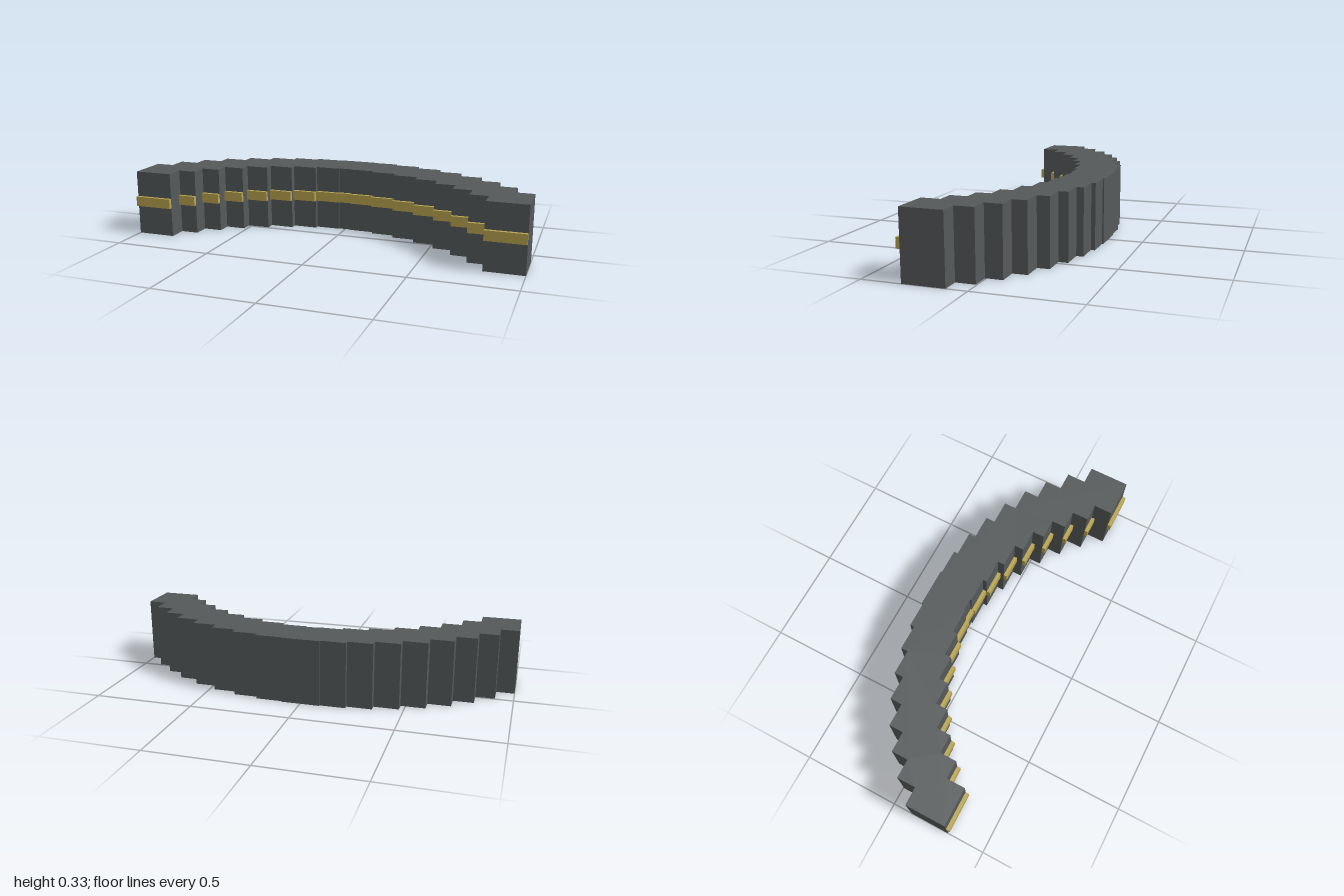
import * as THREE from 'three';

const HEIGHT = 0.33, WIDTH = 0.195, DEPTH = 0.205;
const TRIM_Y = 0.15, TRIM_HEIGHT = 0.05, TRIM_DEPTH = 0.018;

// Centre x and back z of each block, from the outer end to the middle
const BLOCKS = [
  [0.9025, 0.1], [0.812, 0.005], [0.717, -0.079], [0.615, -0.152], [0.5, -0.213],
  [0.379, -0.26], [0.255, -0.295], [0.129, -0.316], [0, -0.323],
];

export function createModel() {
  const group = new THREE.Group();
  const bodyMaterial = new THREE.MeshStandardMaterial({ name: 'dark grey', color: 0x55595a });
  const trimMaterial = new THREE.MeshStandardMaterial({ name: 'muted gold', color: 0xb9a44f });

  // Stepped arc outline: the back steps overlap outwards, the front steps inwards
  const back = [], front = [];
  BLOCKS.forEach(([x, z], i) => {
    const outer = x + WIDTH / 2, inner = x - WIDTH / 2;
    const next = BLOCKS[i + 1];
    const prev = BLOCKS[i - 1];
    const backEnd = next ? next[0] + WIDTH / 2 : 0;
    const frontStart = prev ? prev[0] - WIDTH / 2 : outer;
    const frontEnd = next ? inner : 0;
    back.push([outer, -z], [backEnd, -z]);
    front.push([frontStart, -z - DEPTH], [frontEnd, -z - DEPTH]);
  });
  const rightHalf = [...front.slice(0, -1).reverse(), ...back.slice(0, -1)];
  const leftHalf = rightHalf.map(([x, y]) => [-x, y]).reverse();
  const outline = [...rightHalf, ...leftHalf].map(([x, y]) => new THREE.Vector2(x, y));
  const bodyGeometry = new THREE.ExtrudeGeometry(new THREE.Shape(outline), {
    depth: HEIGHT, bevelEnabled: false,
  });
  bodyGeometry.rotateX(-Math.PI / 2);
  const body = new THREE.Mesh(bodyGeometry, bodyMaterial);
  body.name = 'steppedArcBody';
  group.add(body);

  // Raised gold strip on the visible front of every step
  const trim = new THREE.Group();
  trim.name = 'frontTrim';
  const addStrip = (x0, x1, z) => {
    const strip = new THREE.Mesh(
      new THREE.BoxGeometry(x1 - x0, TRIM_HEIGHT, TRIM_DEPTH), trimMaterial);
    strip.position.set((x0 + x1) / 2, TRIM_Y + TRIM_HEIGHT / 2, z + DEPTH + TRIM_DEPTH / 2);
    strip.name = 'trimStrip';
    trim.add(strip);
  };
  BLOCKS.forEach(([x, z], i) => {
    const outer = i ? BLOCKS[i - 1][0] - WIDTH / 2 : x + WIDTH / 2;
    if (x === 0) {
      addStrip(-outer, outer, z);
    } else {
      addStrip(x - WIDTH / 2, outer, z);
      addStrip(-outer, -x + WIDTH / 2, z);
    }
  });
  group.add(trim);
  return group;
}
